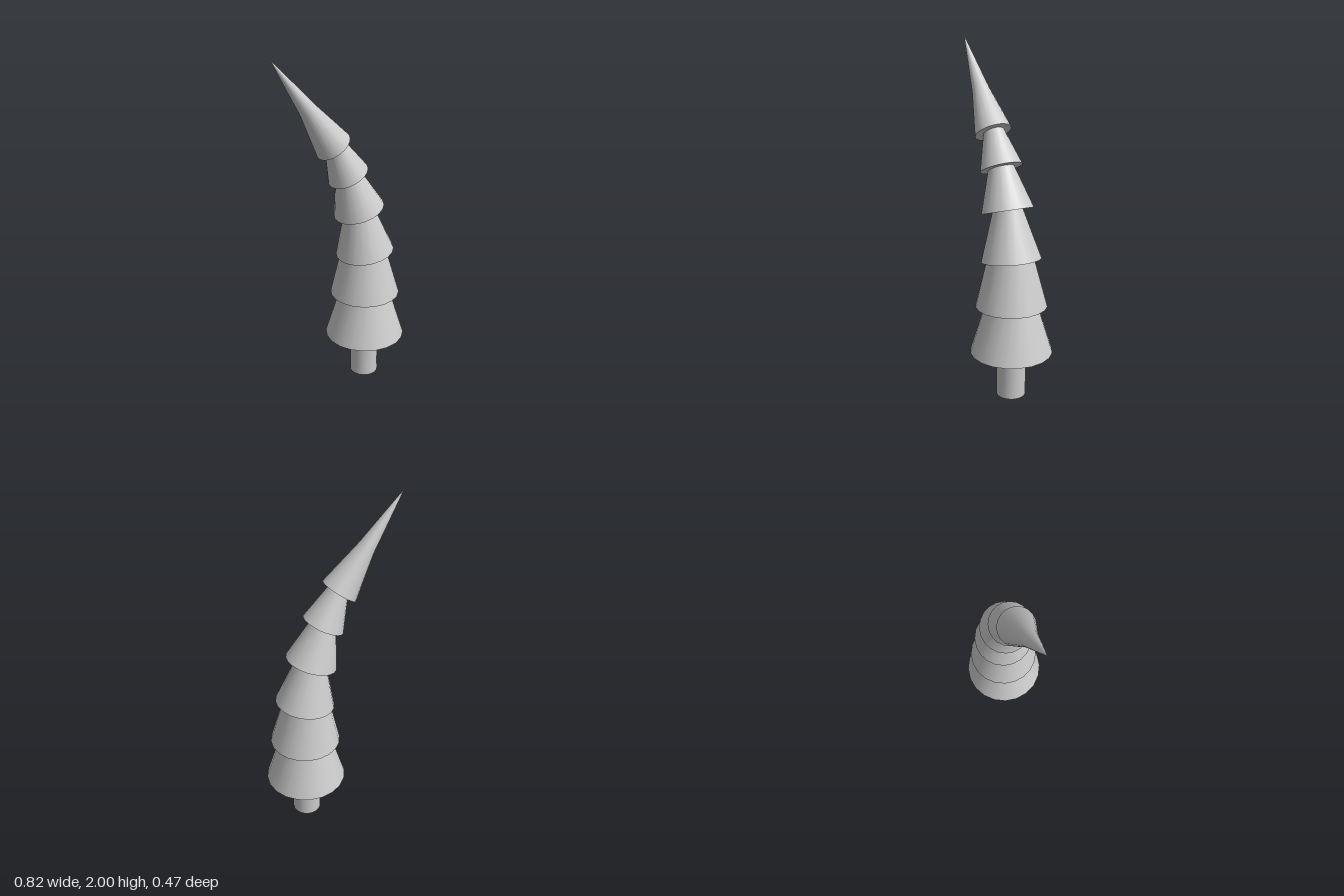
import * as THREE from 'three';
import { toCreasedNormals } from 'three/addons/utils/BufferGeometryUtils.js';

const SIDES = 20;

// Capped tube through tilted circular rings; each ring is its diameter [xLeft, yLeft, xRight, yRight]
function ringSolid(rings) {
  const steps = rings.length - 1;
  const geo = new THREE.CylinderGeometry(1, 1, 1, SIDES, steps);
  const pos = geo.attributes.position;
  for (let i = 0; i < pos.count; i++) {
    const u = pos.getX(i), w = pos.getZ(i);
    const [xl, yl, xr, yr] = rings[Math.round((pos.getY(i) + 0.5) * steps)];
    const hx = (xr - xl) / 2, hy = (yr - yl) / 2;
    pos.setXYZ(i, (xl + xr) / 2 + u * hx, (yl + yr) / 2 + u * hy, w * Math.hypot(hx, hy));
  }
  return toCreasedNormals(geo, Math.PI / 5);
}

export function createModel() {
  const group = new THREE.Group();
  group.name = 'bentTree';
  const material = new THREE.MeshStandardMaterial({ color: 0xcccccc });
  const add = (name, rings) => {
    const mesh = new THREE.Mesh(ringSolid(rings), material);
    mesh.name = name;
    group.add(mesh);
  };

  add('trunk', [[0.09, 0, 0.257, 0], [0.09, 0.28, 0.257, 0.28]]);

  // Foliage tiers from bottom to top, leaning further to -x
  const tiers = [
    [[-0.06, 0.27, 0.41, 0.27], [0.026, 0.555, 0.318, 0.56]],
    [[-0.03, 0.545, 0.376, 0.55], [0.026, 0.8, 0.289, 0.838]],
    [[0.002, 0.79, 0.337, 0.842], [0.043, 1.065, 0.205, 1.115]],
    [[-0.015, 1.04, 0.265, 1.13], [-0.018, 1.27, 0.112, 1.342]],
    [[-0.056, 1.256, 0.157, 1.362], [-0.088, 1.46, 0.008, 1.53]],
  ];
  tiers.forEach((rings, i) => add(`foliageTier${i + 1}`, rings));

  // Pointed top with a slight bend
  add('treeTip', [
    [-0.13, 1.432, 0.04, 1.553],
    [-0.237, 1.68, -0.165, 1.746],
    [-0.411, 1.999, -0.41, 2],
  ]);
  return group;
}
